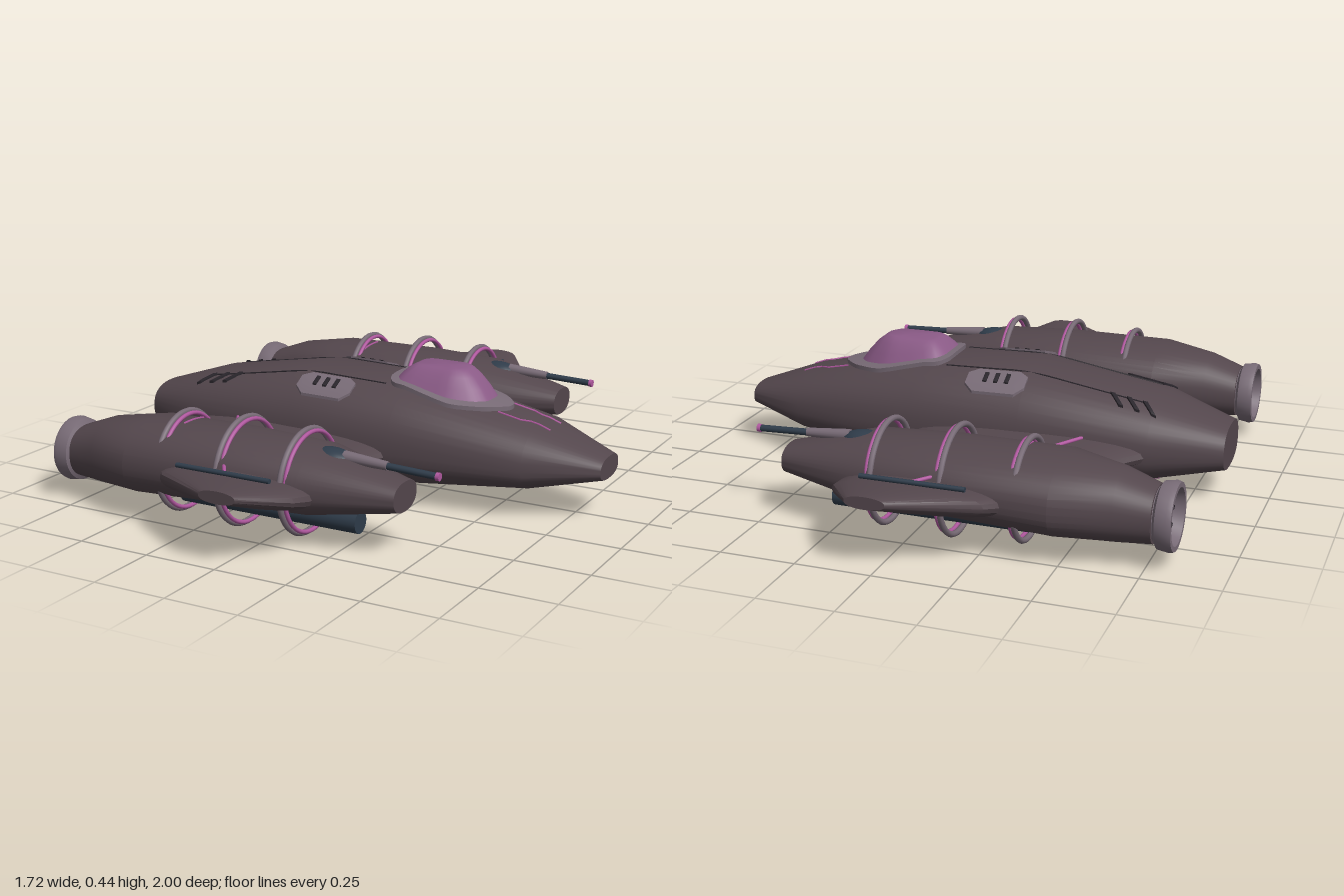
import * as THREE from 'three';
import { toCreasedNormals } from 'three/addons/utils/BufferGeometryUtils.js';

const paint = (name, color) => Object.assign(new THREE.MeshStandardMaterial({ color }), { name });
const hullBrown = paint('hull brown', 0x54474d);
const trimGrey = paint('trim grey', 0x786b76);
const pink = paint('pink', 0xb0589f);
const glass = paint('canopy mauve', 0x8a5a86);
const steel = paint('blue steel', 0x2f3c4a);
const dark = paint('dark slot', 0x29252b);

const V = (x, y, z) => new THREE.Vector3(x, y, z);

function add(parent, name, geo, mat, x = 0, y = 0, z = 0) {
  const m = new THREE.Mesh(geo, mat);
  m.name = name;
  m.position.set(x, y, z);
  parent.add(m);
  return m;
}

// Skin a list of equal-length closed rings and cap both ends
function loft(rings, crease = 0.4) {
  const n = rings[0].length, pos = [], idx = [];
  rings.forEach(r => r.forEach(p => pos.push(p.x, p.y, p.z)));
  for (let i = 0; i < rings.length - 1; i++) for (let j = 0; j < n; j++) {
    const a = i * n + j, b = i * n + (j + 1) % n;
    idx.push(a, a + n, b, b, a + n, b + n);
  }
  [rings[0], rings[rings.length - 1]].forEach((r, end) => {
    const c = r.reduce((s, p) => s.add(p), V(0, 0, 0)).divideScalar(n);
    const k = pos.length / 3, base = end ? (rings.length - 1) * n : 0;
    pos.push(c.x, c.y, c.z);
    for (let j = 0; j < n; j++) {
      const a = base + j, b = base + (j + 1) % n;
      if (end) idx.push(k, b, a); else idx.push(k, a, b);
    }
  });
  const g = new THREE.BufferGeometry();
  g.setAttribute('position', new THREE.Float32BufferAttribute(pos, 3));
  g.setIndex(idx);
  return toCreasedNormals(g, crease);
}

// Body of rounded sections [x, halfWidth, top, bottom, mid], with its surface height
function body(sections, power, zc = 0) {
  const pw = v => Math.sign(v) * Math.abs(v) ** (2 / power);
  const geo = loft(sections.map(([x, w, top, bot, mid]) => Array.from({ length: 40 }, (_, j) => {
    const t = j / 40 * Math.PI * 2, s = pw(Math.sin(t));
    return V(x, mid + s * (s > 0 ? top - mid : mid - bot), zc + w * pw(Math.cos(t)));
  })));
  const height = (x, z, side = 1) => {
    let i = 0;
    while (i < sections.length - 2 && x > sections[i + 1][0]) i++;
    const f = (x - sections[i][0]) / (sections[i + 1][0] - sections[i][0]);
    const [, w, top, bot, mid] = sections[i].map((v, k) => v + (sections[i + 1][k] - v) * f);
    const k = Math.max(0, 1 - Math.abs((z - zc) / w) ** power) ** (1 / power);
    return side > 0 ? mid + (top - mid) * k : mid - (mid - bot) * k;
  };
  return { geo, height };
}

// Plate draped over a body; outline runs from +x towards +z
function pad(outline, height, side, t) {
  const n = outline.length;
  const cx = outline.reduce((s, p) => s + p[0], 0) / n, cz = outline.reduce((s, p) => s + p[1], 0) / n;
  const rings = [[1, -0.02], [1, t], [0.85, t], [0.5, t]].map(([k, o]) => outline.map(([px, pz]) => {
    const x = cx + (px - cx) * k, z = cz + (pz - cz) * k;
    return V(x, height(x, z, side) + side * o, z);
  }));
  return loft(side > 0 ? rings : rings.reverse());
}

// Thin line draped over a body through [x, z] points
function line(points, height, side = 1, r = 0.0045) {
  const pts = [];
  points.slice(1).forEach(([x1, z1], i) => {
    const [x0, z0] = points[i];
    for (let k = 0; k < 8; k++) pts.push([x0 + (x1 - x0) * k / 8, z0 + (z1 - z0) * k / 8]);
  });
  pts.push(points[points.length - 1]);
  const curve = new THREE.CatmullRomCurve3(pts.map(([x, z]) => V(x, height(x, z, side), z)));
  return new THREE.TubeGeometry(curve, pts.length * 2, r, 5);
}

const octagon = (x, z, a, b) => [[a, b * 0.5], [a * 0.7, b], [-a * 0.7, b], [-a, b * 0.5],
  [-a, -b * 0.5], [-a * 0.7, -b], [a * 0.7, -b], [a, -b * 0.5]].map(p => [x + p[0], z + p[1]]);
const slot = (x, z, a, b, skew = 0) =>
  [[a + skew, b], [-a + skew, b], [-a - skew, -b], [a - skew, -b]].map(p => [x + p[0], z + p[1]]);

// Rod between two points
function rod(a, b, r0, r1 = r0) {
  const d = b.clone().sub(a);
  const g = new THREE.CylinderGeometry(r1, r0, d.length(), 16);
  g.applyQuaternion(new THREE.Quaternion().setFromUnitVectors(V(0, 1, 0), d.clone().normalize()));
  return g.translate((a.x + b.x) / 2, (a.y + b.y) / 2, (a.z + b.z) / 2);
}

// Wing lofted outwards along z from [z, xRear, xFront, y, halfThickness]
const wing = sections => loft(sections.map(([z, x0, x1, y, h]) => Array.from({ length: 28 }, (_, j) => {
  const t = j / 28 * Math.PI * 2, s = Math.sin(t);
  return V((x0 + x1) / 2 + (x1 - x0) / 2 * Math.cos(t), y - h * Math.sign(s) * Math.abs(s) ** 0.8, z);
})), 0.5);

function buildSide(hull) {
  const side = new THREE.Group();
  const Z = 0.617;
  add(side, 'innerWing', wing([[0.15, -0.68, 0.21, 0.17, 0.06], [0.26, -0.59, 0.17, 0.17, 0.055],
    [0.4, -0.48, 0.13, 0.17, 0.05], [0.5, -0.46, 0.14, 0.17, 0.05]]), hullBrown);
  add(side, 'outerWing', wing([[0.68, -0.38, 0.2, 0.17, 0.06], [0.78, -0.35, 0.2, 0.18, 0.055],
    [0.85, -0.3, 0.19, 0.195, 0.045], [1, -0.05, 0.08, 0.228, 0.02]]), hullBrown);

  // Engine pod
  const pod = body([[-0.77, 0.1, 0.245, 0.07, 0.16], [-0.66, 0.125, 0.285, 0.065, 0.17],
    [-0.48, 0.19, 0.312, 0.07, 0.185], [-0.13, 0.18, 0.315, 0.085, 0.19],
    [0.15, 0.163, 0.305, 0.095, 0.19], [0.44, 0.075, 0.235, 0.14, 0.19]], 2.3, Z);
  add(side, 'enginePod', pod.geo, hullBrown);
  add(side, 'podLine', line([[-0.35, Z - 0.08], [-0.35, Z + 0.03]], pod.height), pink);

  // Exhaust, with its profile running rearwards
  const profile = [[0.09, 0], [0.086, 0.03], [0.104, 0.04], [0.11, 0.075], [0.106, 0.09], [0.09, 0.09], [0.078, 0.045]];
  const bell = new THREE.LatheGeometry(profile.map(p => new THREE.Vector2(...p)), 32);
  const exhaust = new THREE.Group();
  exhaust.name = 'exhaust';
  exhaust.position.set(-0.742, 0.155, Z);
  exhaust.rotation.z = Math.PI / 2;
  add(exhaust, 'exhaustBell', toCreasedNormals(bell, 0.6), trimGrey);
  add(exhaust, 'exhaustGlow', new THREE.CylinderGeometry(0.082, 0.082, 0.01, 32), pink, 0, 0.05);
  add(exhaust, 'exhaustHub', new THREE.CylinderGeometry(0.022, 0.022, 0.02, 16), dark, 0, 0.055);
  for (let i = 0; i < 4; i++)
    add(exhaust, 'exhaustVane', new THREE.BoxGeometry(0.15, 0.008, 0.012), dark, 0, 0.057).rotation.y = i * Math.PI / 4;
  side.add(exhaust);

  // Hoops around the pod
  for (const [x, r] of [[-0.365, 0.161], [-0.135, 0.173], [0.095, 0.166]]) {
    add(side, 'hoop', new THREE.TorusGeometry(r, 0.01, 8, 48), trimGrey, x, 0.183, Z).rotation.y = Math.PI / 2;
    add(side, 'hoopBand', new THREE.TorusGeometry(r - 0.006, 0.007, 8, 48), pink, x + 0.015, 0.183, Z).rotation.y = Math.PI / 2;
  }

  // Underslung cannon
  add(side, 'cannon', rod(V(-0.37, 0.075, Z), V(0.285, 0.078, Z), 0.035, 0.037), steel);

  // Top gun
  const turret = add(side, 'turret', new THREE.SphereGeometry(1, 24, 16), steel, 0.18, 0.27, Z);
  turret.scale.set(0.075, 0.035, 0.05);
  add(side, 'gunSleeve', rod(V(0.23, 0.282, Z), V(0.38, 0.275, Z), 0.02, 0.014), trimGrey);
  add(side, 'gunBarrel', rod(V(0.36, 0.275, Z), V(0.55, 0.268, Z), 0.011), steel);
  add(side, 'gunTip', rod(V(0.545, 0.268, Z), V(0.557, 0.268, Z), 0.013), pink);

  // Rods and cables on the wings
  add(side, 'outerRod', rod(V(-0.24, 0.246, 0.842), V(0.1, 0.246, 0.842), 0.008), steel);
  add(side, 'innerRod', rod(V(-0.4, 0.222, 0.382), V(0.02, 0.222, 0.382), 0.008), steel);
  add(side, 'outerCable', rod(V(-0.12, 0.245, 0.76), V(-0.06, 0.245, 0.845), 0.006), pink);
  add(side, 'innerCable', rod(V(-0.42, 0.222, 0.23), V(-0.32, 0.222, 0.4), 0.006), pink);

  // Top hatch, vents and lines on the fuselage
  const h = hull.height;
  add(side, 'topHatch', pad(octagon(-0.1, 0.172, 0.104, 0.042), h, 1, 0.009), trimGrey);
  for (const i of [-1, 0, 1]) {
    add(side, 'hatchSlot', pad(slot(-0.1 + i * 0.038, 0.168, 0.007, 0.017), h, 1, 0.014), dark);
    add(side, 'rearVent', pad(slot(-0.56 + i * 0.055, 0.132, 0.008, 0.024, -0.02), h, 1, 0.008), dark);
  }
  add(side, 'topSeam', line([[-0.6, 0.105], [0.1, 0.11]], h, 1, 0.003), dark);
  add(side, 'noseLine', line([[0.49, 0.06], [0.57, 0.06], [0.6, 0.045], [0.67, 0.045]], h, 1, 0.004), pink);

  // Belly hatches and lines
  for (const [x, z, a, b] of [[-0.2, 0.14, 0.09, 0.04], [0.1, 0.12, 0.055, 0.035]]) {
    add(side, 'bellyHatch', pad(octagon(x, z, a, b), h, -1, 0.009), trimGrey);
    for (const i of [-1, 0, 1])
      add(side, 'bellySlot', pad(slot(x + i * a * 0.36, z, 0.006, 0.016), h, -1, 0.014), dark);
  }
  add(side, 'bellyLine', line([[-0.65, 0.1], [-0.35, 0.09], [-0.3, 0.05], [0, 0.05], [0.05, 0.08], [0.32, 0.08]], h, -1), pink);
  add(side, 'bellyBranch', line([[-0.12, 0.05], [-0.06, 0.2]], h, -1), pink);
  return side;
}

export function createModel() {
  const ship = new THREE.Group();
  ship.name = 'spacecraft';

  const hull = body([[-0.863, 0.12, 0.25, 0.1, 0.17], [-0.63, 0.22, 0.325, 0.055, 0.18],
    [-0.2, 0.26, 0.397, 0.03, 0.18], [0.18, 0.26, 0.387, 0.04, 0.18],
    [0.63, 0.19, 0.295, 0.085, 0.17], [0.86, 0.08, 0.21, 0.135, 0.17]], 2.5);
  add(ship, 'fuselage', hull.geo, hullBrown);

  // Canopy: rounded teardrop outlines
  const teardrop = half => {
    const pts = [...half, ...half.slice().reverse().map(([x, z]) => [x, -z])];
    const c = new THREE.CatmullRomCurve3(pts.map(([x, z]) => V(x, 0, z)), true, 'catmullrom', 0.3);
    return c.getPoints(40).slice(0, 40).map(p => [p.x, p.z]);
  };
  const rim = teardrop([[0.51, 0.025], [0.45, 0.09], [0.34, 0.137], [0.14, 0.122], [0.1, 0.07]]);
  add(ship, 'canopyFrame', pad(rim, hull.height, 1, 0.014), trimGrey);
  const base = teardrop([[0.45, 0.04], [0.41, 0.085], [0.32, 0.118], [0.15, 0.108], [0.115, 0.06]]);
  const roof = teardrop([[0.345, 0.02], [0.335, 0.038], [0.31, 0.05], [0.2, 0.05], [0.18, 0.03]]);
  const shell = [[0, 0], [0.3, 0.42], [0.6, 0.76], [0.85, 0.95], [1, 1]].map(([f, u]) => base.map(([x, z], i) => {
    const y0 = hull.height(x, z) + 0.005;
    return V(x + (roof[i][0] - x) * f, y0 + (0.443 - y0) * u, z + (roof[i][1] - z) * f);
  }));
  add(ship, 'canopy', loft(shell, 0.7), glass);

  const left = buildSide(hull);
  left.name = 'frontSide';
  const right = left.clone();
  right.name = 'backSide';
  right.scale.z = -1;
  ship.add(left, right);
  return ship;
}
